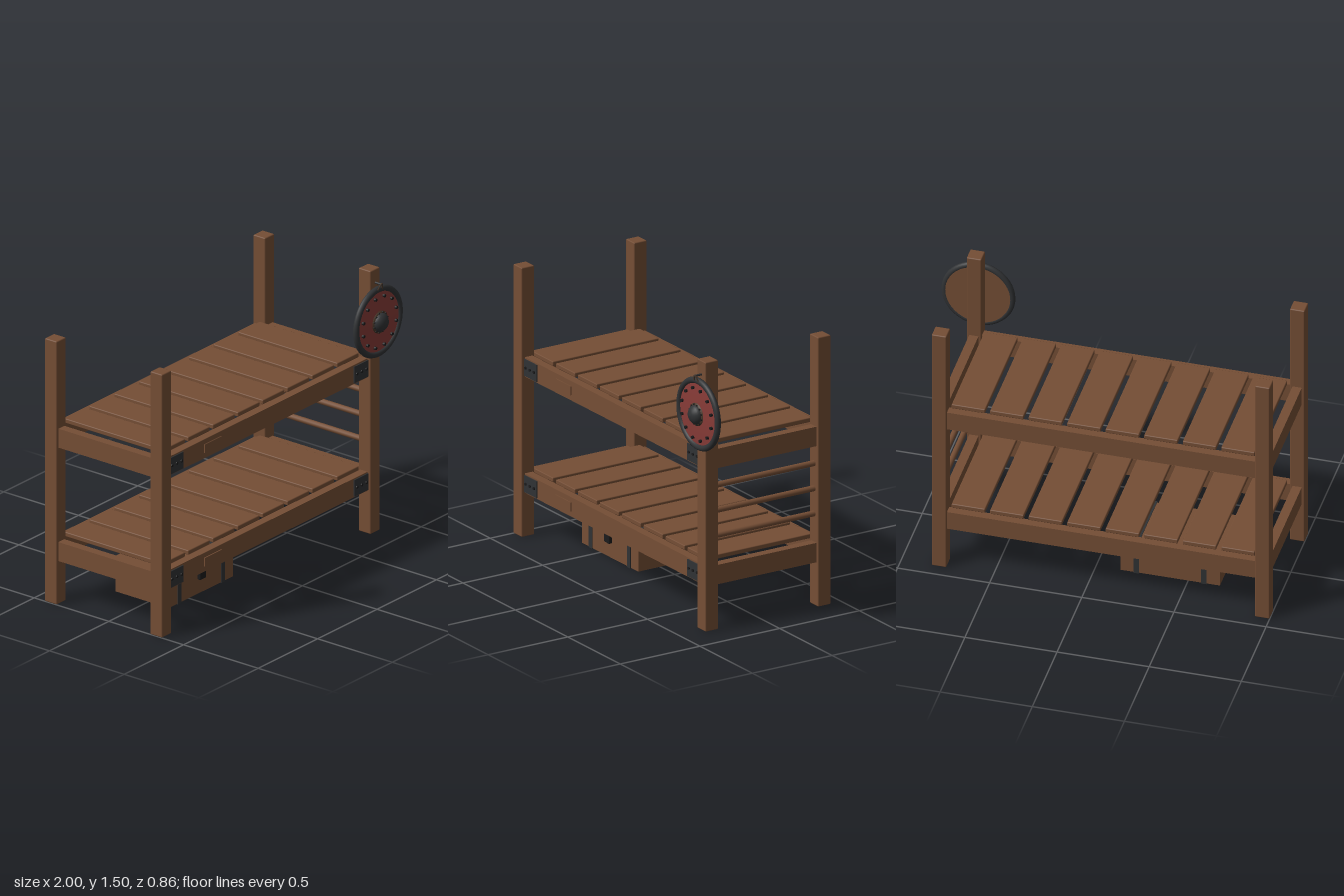
import * as THREE from 'three';
import { RoundedBoxGeometry } from 'three/addons/geometries/RoundedBoxGeometry.js';

const mat = (name, color, side = THREE.FrontSide) => {
  const m = new THREE.MeshStandardMaterial({ color, side });
  m.name = name;
  return m;
};

export function createModel() {
  const wood = mat('wood', 0x754e35);
  const iron = mat('iron', 0x303234);
  const bolt = mat('bolt', 0x1b1b1c);
  const red = mat('red paint', 0x873b37, THREE.DoubleSide);
  const leather = mat('leather', 0x4a382a);

  const model = new THREE.Group();
  model.name = 'bunkBed';

  const add = (parent, name, geo, material, x = 0, y = 0, z = 0) => {
    const mesh = new THREE.Mesh(geo, material);
    mesh.name = name;
    mesh.position.set(x, y, z);
    parent.add(mesh);
    return mesh;
  };
  // box given by its limits, optionally with a small chamfer
  const box = (parent, name, material, [x0, x1], [y0, y1], [z0, z1], bevel = 0) => {
    const s = [x1 - x0, y1 - y0, z1 - z0];
    const geo = bevel ? new RoundedBoxGeometry(...s, 1, bevel) : new THREE.BoxGeometry(...s);
    return add(parent, name, geo, material, (x0 + x1) / 2, (y0 + y1) / 2, (z0 + z1) / 2);
  };
  // cylinder lying along z
  const stud = (parent, name, material, r, depth, x, y, z, sides = 8) => {
    const m = add(parent, name, new THREE.CylinderGeometry(r, r, depth, sides), material, x, y, z);
    m.rotation.x = Math.PI / 2;
    return m;
  };

  // corner posts
  for (const x of [-0.96, 0.794])
    for (const z of [0.316, -0.39])
      box(model, 'post', wood, [x - 0.04, x + 0.04], [0, 1.5], [z - 0.04, z + 0.04], 0.006);

  // two bunks: rails, slats, iron brackets and a patch on the front rail
  for (const y of [0.245, 0.892]) {
    const bunk = new THREE.Group();
    bunk.name = y < 0.5 ? 'lowerBunk' : 'upperBunk';
    model.add(bunk);
    const top = y + 0.108;
    box(bunk, 'frontRail', wood, [-0.93, 0.765], [y, top], [0.287, 0.336]);
    box(bunk, 'backRail', wood, [-0.93, 0.765], [y, top], [-0.418, -0.369]);
    for (const x of [-0.96, 0.794])
      box(bunk, 'endRail', wood, [x - 0.025, x + 0.025], [y, top], [-0.36, 0.286]);
    for (let i = 0; i < 8; i++) {
      const x = -0.813 + i * 0.209;
      box(bunk, 'slat', wood, [x - 0.091, x + 0.091], [top - 0.001, top + 0.025], [-0.375, 0.29], 0.005);
    }
    for (const x of [-0.86, 0.696]) {
      box(bunk, 'bracket', iron, [x - 0.06, x + 0.06], [y + 0.006, y + 0.1], [0.334, 0.342]);
      for (const dx of [-0.04, 0, 0.04])
        stud(bunk, 'bracketBolt', bolt, 0.008, 0.008, x + dx, y + 0.055, 0.344);
    }
    box(bunk, 'railPatch', wood, [-0.62, -0.475], [y + 0.03, y + 0.08], [0.334, 0.341]);
  }

  // ladder rungs at one end
  for (const y of [0.51, 0.65, 0.79])
    stud(model, 'rung', wood, 0.016, 0.65, 0.794, y, -0.037, 12);

  // chest under the lower bunk
  const chest = new THREE.Group();
  chest.name = 'chest';
  model.add(chest);
  box(chest, 'chestBody', wood, [-0.673, -0.134], [0.003, 0.165], [-0.215, 0.141]);
  box(chest, 'chestLid', wood, [-0.684, -0.123], [0.162, 0.203], [-0.224, 0.149], 0.004);
  for (const x of [-0.586, -0.22]) {
    box(chest, 'bodyStrap', iron, [x - 0.015, x + 0.015], [0, 0.163], [-0.219, 0.145]);
    box(chest, 'lidStrap', iron, [x - 0.015, x + 0.015], [0.16, 0.207], [-0.228, 0.153]);
  }
  box(chest, 'hasp', iron, [-0.423, -0.388], [0.12, 0.185], [0.14, 0.156]);
  box(chest, 'lock', bolt, [-0.432, -0.383], [0.085, 0.135], [0.14, 0.161], 0.004);

  // round shield hung on the front post
  const shield = new THREE.Group();
  shield.name = 'shield';
  shield.position.set(0.795, 1.207, 0.356);
  model.add(shield);
  stud(shield, 'shieldBack', wood, 0.185, 0.014, 0, 0, 0.009, 48);
  const rim = add(shield, 'shieldRim', new THREE.TorusGeometry(0.183, 0.0175, 10, 56), iron, 0, 0, 0.0175);
  rim.scale.z = 0.98;
  const lathe = (name, material, pts, seg = 40) => {
    const geo = new THREE.LatheGeometry(pts.map(p => new THREE.Vector2(...p)), seg);
    add(shield, name, geo, material).rotation.x = Math.PI / 2;
  };
  lathe('shieldFace', red, [[0.18, 0.022], [0.12, 0.027], [0.05, 0.03], [0, 0.03]]);
  lathe('bossCollar', leather, [[0.062, 0.022], [0.062, 0.035], [0.045, 0.037], [0, 0.037]]);
  lathe('boss', iron, [[0.052, 0.03], [0.052, 0.04], [0.046, 0.053], [0.034, 0.064], [0.018, 0.071], [0, 0.074]], 24);
  for (let i = 0; i < 12; i++) {
    const a = (i + 0.5) * Math.PI / 6;
    stud(shield, 'faceRivet', bolt, 0.009, 0.014, 0.143 * Math.cos(a), 0.143 * Math.sin(a), 0.03);
    stud(shield, 'collarRivet', bolt, 0.005, 0.008, 0.056 * Math.cos(a), 0.056 * Math.sin(a), 0.037, 6);
  }

  // peg and hanging loop
  stud(shield, 'peg', iron, 0.006, 0.05, 0, 0.217, 0.02);
  const loop = new THREE.CatmullRomCurve3([
    [-0.02, 0.18, 0.03], [-0.012, 0.205, 0.037], [0, 0.222, 0.043], [0.012, 0.205, 0.037], [0.02, 0.18, 0.03],
  ].map(p => new THREE.Vector3(...p)));
  add(shield, 'hangingLoop', new THREE.TubeGeometry(loop, 20, 0.004, 6), leather);

  return model;
}
